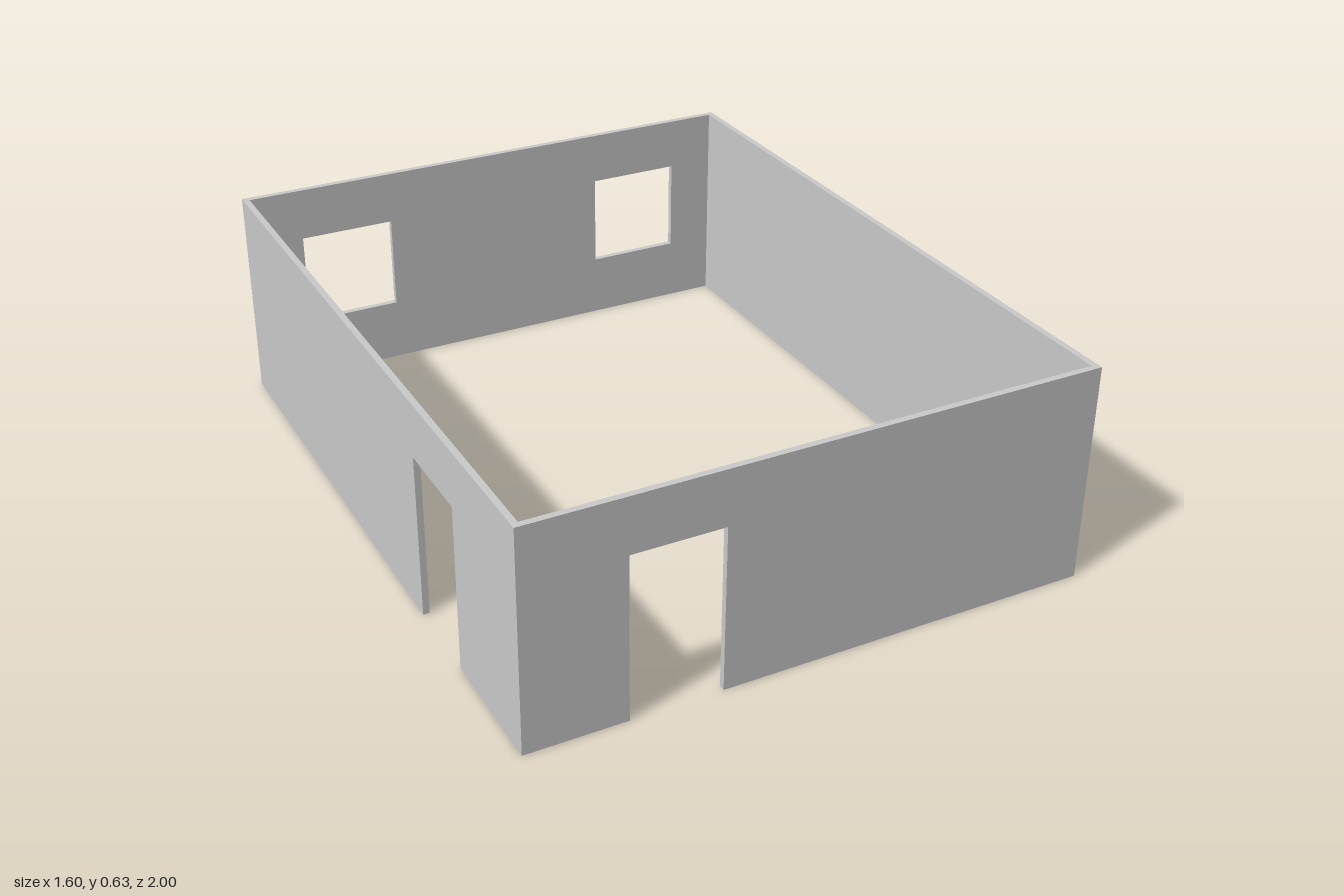
import * as THREE from 'three';

const W = 1.6, D = 2, H = 0.628, T = 0.018; // width, depth, height, wall thickness
const HEAD = 0.471, SILL = 0.19;            // shared top of openings, window sill

export function createModel() {
  const model = new THREE.Group();
  const material = new THREE.MeshStandardMaterial({ color: 0xcccccc });

  // Upright wall along x, doors notched into its outline, windows cut as holes
  function wall(name, length, doors = [], windows = []) {
    const h = length / 2;
    const shape = new THREE.Shape();
    shape.moveTo(-h, 0);
    for (const [a, b] of doors) {
      shape.lineTo(a, 0);
      shape.lineTo(a, HEAD);
      shape.lineTo(b, HEAD);
      shape.lineTo(b, 0);
    }
    shape.lineTo(h, 0);
    shape.lineTo(h, H);
    shape.lineTo(-h, H);
    shape.closePath();
    for (const [a, b] of windows) {
      const hole = new THREE.Path();
      hole.moveTo(a, SILL);
      hole.lineTo(a, HEAD);
      hole.lineTo(b, HEAD);
      hole.lineTo(b, SILL);
      hole.closePath();
      shape.holes.push(hole);
    }
    const geometry = new THREE.ExtrudeGeometry(shape, { depth: T, bevelEnabled: false });
    const mesh = new THREE.Mesh(geometry, material);
    mesh.name = name;
    model.add(mesh);
    return mesh;
  }

  // Front wall with a doorway, back wall with two windows
  wall('frontWall', W, [[-0.52, -0.265]]).position.z = D / 2 - T;
  wall('backWall', W, [], [[-0.63, -0.345], [0.36, 0.643]]).position.z = -D / 2;

  // Side walls fit between them, turned so their length runs along z
  const sideLength = D - 2 * T;
  const leftWall = wall('leftWall', sideLength);
  leftWall.position.x = W / 2;
  const rightWall = wall('rightWall', sideLength, [[0.38, 0.63]]);
  rightWall.position.x = -W / 2 + T;
  for (const side of [leftWall, rightWall]) side.rotation.y = -Math.PI / 2;

  return model;
}
